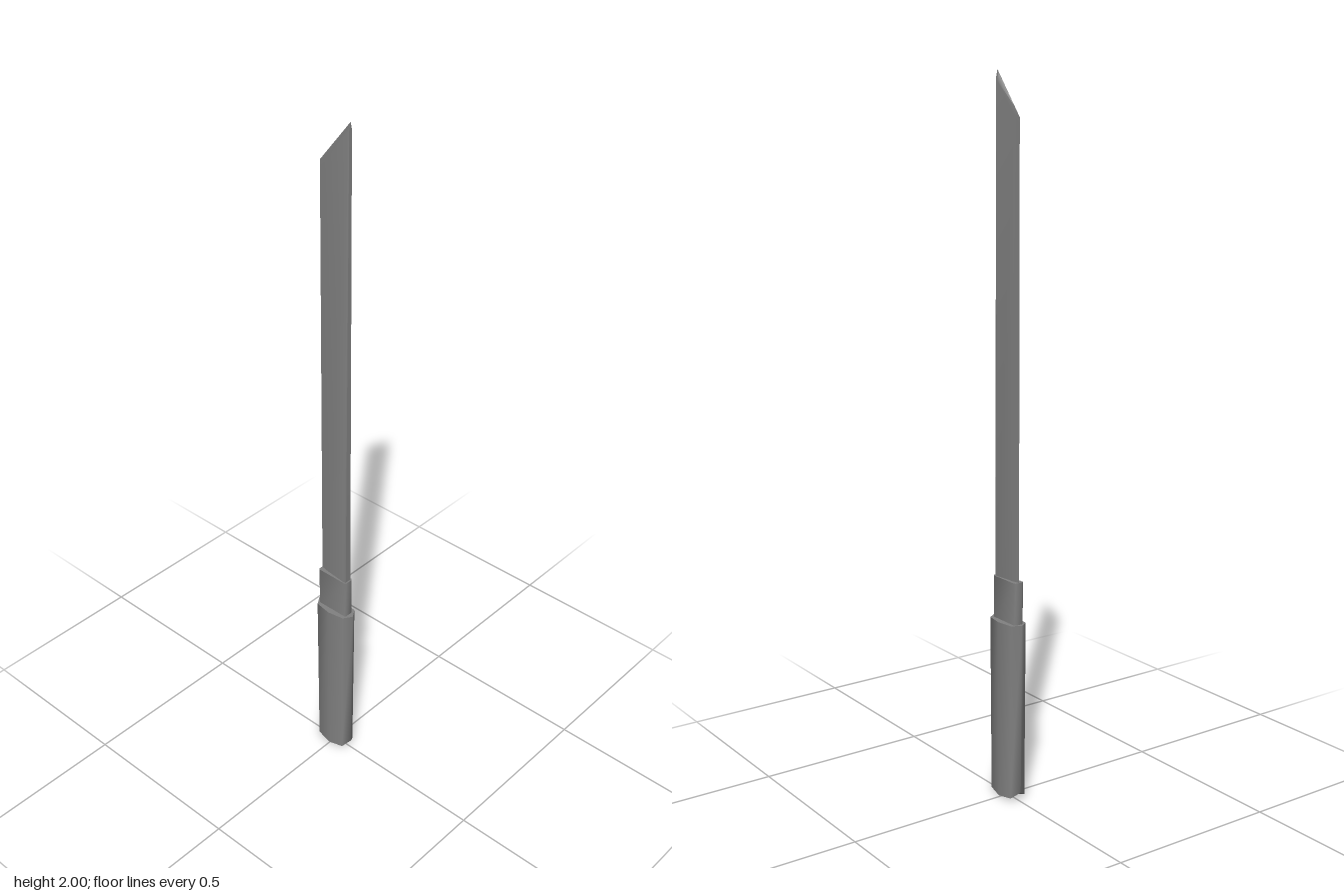
import * as THREE from 'three';
import { toCreasedNormals } from 'three/addons/utils/BufferGeometryUtils.js';

// Closed skin through rings of [x, y, z], each counter-clockwise seen from above
function loft(rings) {
  const n = rings[0].length;
  const index = [];
  for (let r = 0; r < rings.length - 1; r++) {
    for (let i = 0; i < n; i++) {
      const j = (i + 1) % n;
      const a = r * n + i, b = r * n + j, c = a + n, d = b + n;
      index.push(a, b, d, a, d, c);
    }
  }
  const top = (rings.length - 1) * n;
  for (let i = 1; i < n - 1; i++) {
    index.push(0, i + 1, i); // bottom cap
    index.push(top, top + i, top + i + 1); // top cap
  }
  const geometry = new THREE.BufferGeometry();
  geometry.setAttribute('position', new THREE.Float32BufferAttribute(rings.flat(2), 3));
  geometry.setIndex(index);
  return toCreasedNormals(geometry, 1.2);
}

export function createModel() {
  const group = new THREE.Group();
  const material = new THREE.MeshStandardMaterial({ color: 0x808080 });
  const add = (name, rings) => {
    const mesh = new THREE.Mesh(loft(rings), material);
    mesh.name = name;
    group.add(mesh);
  };

  // Handle: flattened octagon, slightly narrower toward the pointed butt
  const octagon = [
    [0.065, 0], [0.049, -0.025], [0, -0.033], [-0.049, -0.025],
    [-0.065, 0], [-0.049, 0.025], [0, 0.033], [0.049, 0.025],
  ];
  const buttHeight = (x) => (Math.abs(x) > 0.06 ? 0.027 : Math.abs(x) > 0.01 ? 0.01 : 0.004);
  add('handle', [
    octagon.map(() => [0, 0, 0]),
    octagon.map(([x, z]) => [x * 0.95, buttHeight(x), z * 0.95]),
    octagon.map(([x, z]) => [x, 0.52, z]),
  ]);

  // Collar between handle and blade, with softened corners
  const collar = [
    [0.05, 0.011], [0.05, -0.011], [0.046, -0.015], [-0.049, -0.015],
    [-0.053, -0.011], [-0.053, 0.011], [-0.049, 0.015], [0.046, 0.015],
  ];
  add('collar', [0.5, 0.64].map((y) => collar.map(([x, z]) => [x, y, z])));

  // Blade: edge toward -x, thick spine toward +x, thinning upward to a slanted tip
  const section = [
    [0.046, -0.8], [0.04, -1], [-0.03, -0.4], [-0.052, 0],
    [-0.03, 0.4], [0.04, 1], [0.046, 0.8],
  ];
  const tipHeight = (x) => 1.88 + ((x + 0.052) / 0.098) * 0.12;
  const bladeRing = (height, halfThickness) =>
    section.map(([x, z]) => [x, height(x), z * halfThickness]);
  add('blade', [
    bladeRing(() => 0.62, 0.012),
    bladeRing((x) => tipHeight(x) - 0.02, 0.006),
    bladeRing(tipHeight, 0.0005),
  ]);

  return group;
}
